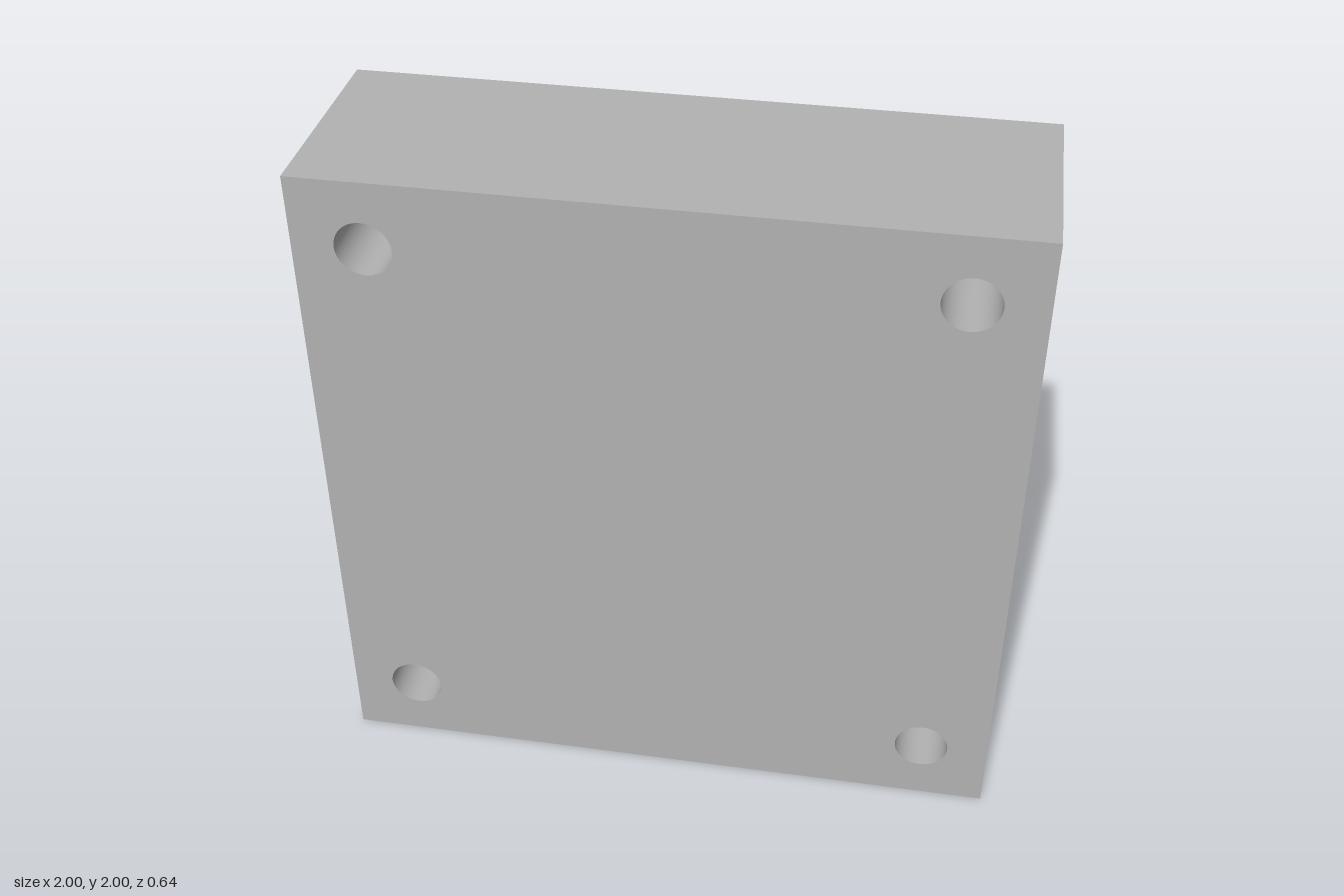
import * as THREE from 'three';

const HALF = 1, BACK = -0.32, FRONT = 0.32;          // plate extents
const HOLE_R = 0.08, HOLE_AT = 0.8;                  // corner bolt holes
const PW = 0.62, PH = 0.55, PR = 0.4, FILLET = 0.12; // pocket outline and floor fillet

// Depth of the gently dished pocket floor, curved about the vertical axis
const floorDepth = (x) => 0.2 + Math.sqrt(1.4 * 1.4 - x * x) - Math.sqrt(1.4 * 1.4 - PW * PW);

// Rounded rectangle, counter-clockwise, with subdivided straight sides
function outline(inset) {
  const arcs = [[1, 1], [-1, 1], [-1, -1], [1, -1]].map(([sx, sy], q) => {
    const pts = [];
    for (let i = 0; i <= 12; i++) {
      const a = (q + i / 12) * Math.PI / 2;
      pts.push(new THREE.Vector2(
        sx * (PW - PR) + (PR - inset) * Math.cos(a),
        sy * (PH - PR) + (PR - inset) * Math.sin(a)));
    }
    return pts;
  });
  return arcs.flatMap((arc, q) => {
    const end = arc[12], next = arcs[(q + 1) % 4][0];
    const side = [];
    for (let i = 1; i < 8; i++) side.push(end.clone().lerp(next, i / 8));
    return [...arc, ...side];
  });
}

// Square face with bolt holes and an optional pocket opening
function faceGeometry(pocket) {
  const shape = new THREE.Shape([[-1, -1], [1, -1], [1, 1], [-1, 1]]
    .map(([x, y]) => new THREE.Vector2(x * HALF, y * HALF)));
  for (const x of [-HOLE_AT, HOLE_AT]) for (const y of [-HOLE_AT, HOLE_AT]) {
    shape.holes.push(new THREE.Path().absarc(x, y, HOLE_R, 0, Math.PI * 2, true));
  }
  if (pocket) shape.holes.push(new THREE.Path(outline(0).reverse()));
  return new THREE.ShapeGeometry(shape, 24);
}

// Pocket skin: wall, rounded fillet, then floor rings closing at the centre
function pocketGeometry() {
  const rings = [];
  const rim = outline(0);
  rings.push(rim.map((p) => [p.x, p.y, 0]));
  for (let k = 0; k <= 10; k++) {
    const t = (k / 10) * Math.PI / 2;
    rings.push(outline(FILLET * (1 - Math.cos(t)))
      .map((p) => [p.x, p.y, floorDepth(p.x) - FILLET * (1 - Math.sin(t))]));
  }
  const inner = outline(FILLET);
  for (let k = 7; k >= 0; k--) {
    rings.push(inner.map((p) => [p.x * k / 8, p.y * k / 8, floorDepth(p.x * k / 8)]));
  }
  const n = rim.length, index = [];
  for (let j = 0; j < rings.length - 1; j++) for (let i = 0; i < n; i++) {
    const i2 = (i + 1) % n;
    const a = j * n + i, b = j * n + i2, c = a + n, d = b + n;
    index.push(a, c, b, b, c, d);
  }
  const geo = new THREE.BufferGeometry();
  geo.setAttribute('position', new THREE.Float32BufferAttribute(rings.flat(2), 3));
  geo.setIndex(index);
  geo.computeVertexNormals();
  return geo.translate(0, 0, BACK);
}

export function createModel() {
  const grey = new THREE.MeshStandardMaterial({ color: 0xb2b2b2, side: THREE.DoubleSide });
  grey.name = 'plainGrey';
  const model = new THREE.Group();
  model.name = 'pocketPlate';
  const block = new THREE.Group();
  block.name = 'block';
  block.position.y = HALF;
  model.add(block);
  const add = (name, geo) => {
    const mesh = new THREE.Mesh(geo, grey);
    mesh.name = name;
    block.add(mesh);
  };

  // Front and back faces
  add('frontFace', faceGeometry(false).translate(0, 0, FRONT));
  add('backFace', faceGeometry(true).rotateY(Math.PI).translate(0, 0, BACK));

  // Four outer sides
  ['topSide', 'leftSide', 'bottomSide', 'rightSide'].forEach((name, i) => {
    add(name, new THREE.PlaneGeometry(2 * HALF, FRONT - BACK)
      .rotateX(-Math.PI / 2).translate(0, HALF, 0).rotateZ(-i * Math.PI / 2));
  });

  // Through holes in the corners
  for (const x of [-HOLE_AT, HOLE_AT]) for (const y of [-HOLE_AT, HOLE_AT]) {
    add('boltHole', new THREE.CylinderGeometry(HOLE_R, HOLE_R, FRONT - BACK, 48, 1, true)
      .rotateX(Math.PI / 2).translate(x, y, 0));
  }

  // Recess in the back
  add('pocket', pocketGeometry());
  return model;
}
